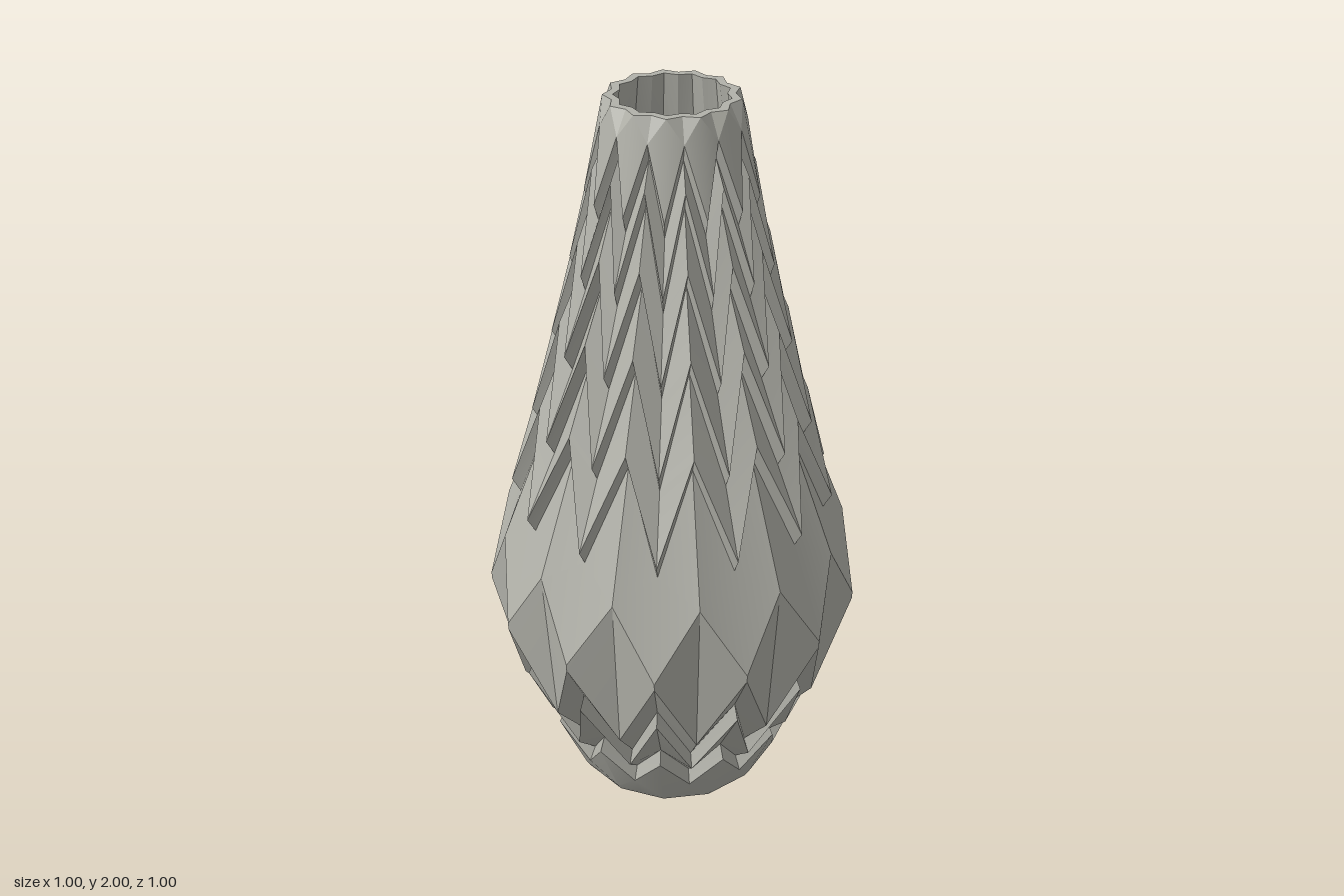
import * as THREE from 'three';
import { toCreasedNormals } from 'three/addons/utils/BufferGeometryUtils.js';

const PLEATS = 13;
const COLS = PLEATS * 2;

// Envelope of the vase: [height, radius]
const ENVELOPE = [
  [0, 0.275], [0.1, 0.32], [0.21, 0.365], [0.34, 0.43], [0.43, 0.455], [0.6, 0.507],
  [0.81, 0.465], [0.93, 0.43], [1.19, 0.355], [1.43, 0.295], [1.64, 0.243], [1.84, 0.2], [2, 0.168],
];

function radiusAt(y) {
  for (let i = 1; i < ENVELOPE.length; i++) {
    const [y0, r0] = ENVELOPE[i - 1];
    const [y1, r1] = ENVELOPE[i];
    if (y <= y1) return r0 + ((r1 - r0) * (y - y0)) / (y1 - y0);
  }
  return ENVELOPE[ENVELOPE.length - 1][1];
}

// A ring zigzags between two points: [y, r] on the pleat and [y, r] half way to the next pleat
const fold = (yA, yB) => [yA, radiusAt(yA), yB, radiusAt(yB)];
const tuck = ([yA, rA, yB, rB], dy, dr) => [yA + dy, rA - dr, yB + dy, rB - dr];

// Skin a stack of zigzag rings, splitting each quad along its shorter diagonal
function skin(rings, crease = 0.3) {
  const point = (ring, i) => {
    const a = (i * Math.PI) / PLEATS;
    const [y, r] = i % 2 ? [ring[2], ring[3]] : [ring[0], ring[1]];
    return new THREE.Vector3(r * Math.sin(a), y, r * Math.cos(a));
  };
  const pos = [];
  const tri = (a, b, c) => {
    if (a.distanceTo(b) < 1e-6 || b.distanceTo(c) < 1e-6 || c.distanceTo(a) < 1e-6) return;
    for (const p of [a, b, c]) pos.push(p.x, p.y, p.z);
  };
  for (let j = 0; j + 1 < rings.length; j++) {
    for (let i = 0; i < COLS; i++) {
      const a = point(rings[j], i), b = point(rings[j], i + 1);
      const c = point(rings[j + 1], i + 1), d = point(rings[j + 1], i);
      if (a.distanceTo(c) < b.distanceTo(d)) {
        tri(a, b, c);
        tri(a, c, d);
      } else {
        tri(a, b, d);
        tri(b, c, d);
      }
    }
  }
  const geometry = new THREE.BufferGeometry();
  geometry.setAttribute('position', new THREE.Float32BufferAttribute(pos, 3));
  geometry.computeVertexNormals();
  return toCreasedNormals(geometry, crease);
}

export function createModel() {
  const group = new THREE.Group();
  const ceramic = new THREE.MeshStandardMaterial({ color: 0xb2b2aa });
  ceramic.name = 'grey ceramic';
  const add = (name, rings) => {
    const mesh = new THREE.Mesh(skin(rings), ceramic);
    mesh.name = name;
    group.add(mesh);
  };

  const foot = [0, 0.27, 0, 0.262];
  const lip = [2, 0.168, 2, 0.15];
  const innerLip = [2, 0.143, 2, 0.13];
  const innerFoot = [0.05, 0.24, 0.05, 0.23];

  // Folds below the waist point up on each pleat, folds above point down
  const lower = [[0.21, 0.1], [0.42, 0.19], [0.59, 0.34]];
  const upper = [[0.61, 0.81], [0.92, 1.19], [1.14, 1.43], [1.37, 1.64], [1.58, 1.83], [1.76, 1.94]];

  // Outer wall with a small undercut tucked behind every fold
  const wall = [foot, [0.02, 0.283, 0.02, 0.274]];
  lower.forEach(([a, b], k) => {
    const ring = fold(a, b);
    wall.push(ring);
    if (k < lower.length - 1) wall.push(tuck(ring, 0.04, 0.02));
  });
  upper.forEach(([a, b], k) => {
    const ring = fold(a, b);
    if (k > 0) wall.push(tuck(ring, -0.04, k > 3 ? 0.012 : 0.022));
    wall.push(ring);
  });
  wall.push(lip);
  add('pleatedWall', wall);

  add('base', [[0, 0, 0, 0], foot]);
  add('rim', [lip, innerLip]);

  // Hollow inside, following the envelope
  const inside = [innerLip];
  for (const y of [1.64, 1.19, 0.81, 0.6, 0.34]) {
    const r = radiusAt(y) - 0.055;
    inside.push([y, r, y, r * 0.95]);
  }
  inside.push(innerFoot);
  add('innerWall', inside);
  add('floor', [innerFoot, [0.05, 0, 0.05, 0]]);

  return group;
}
